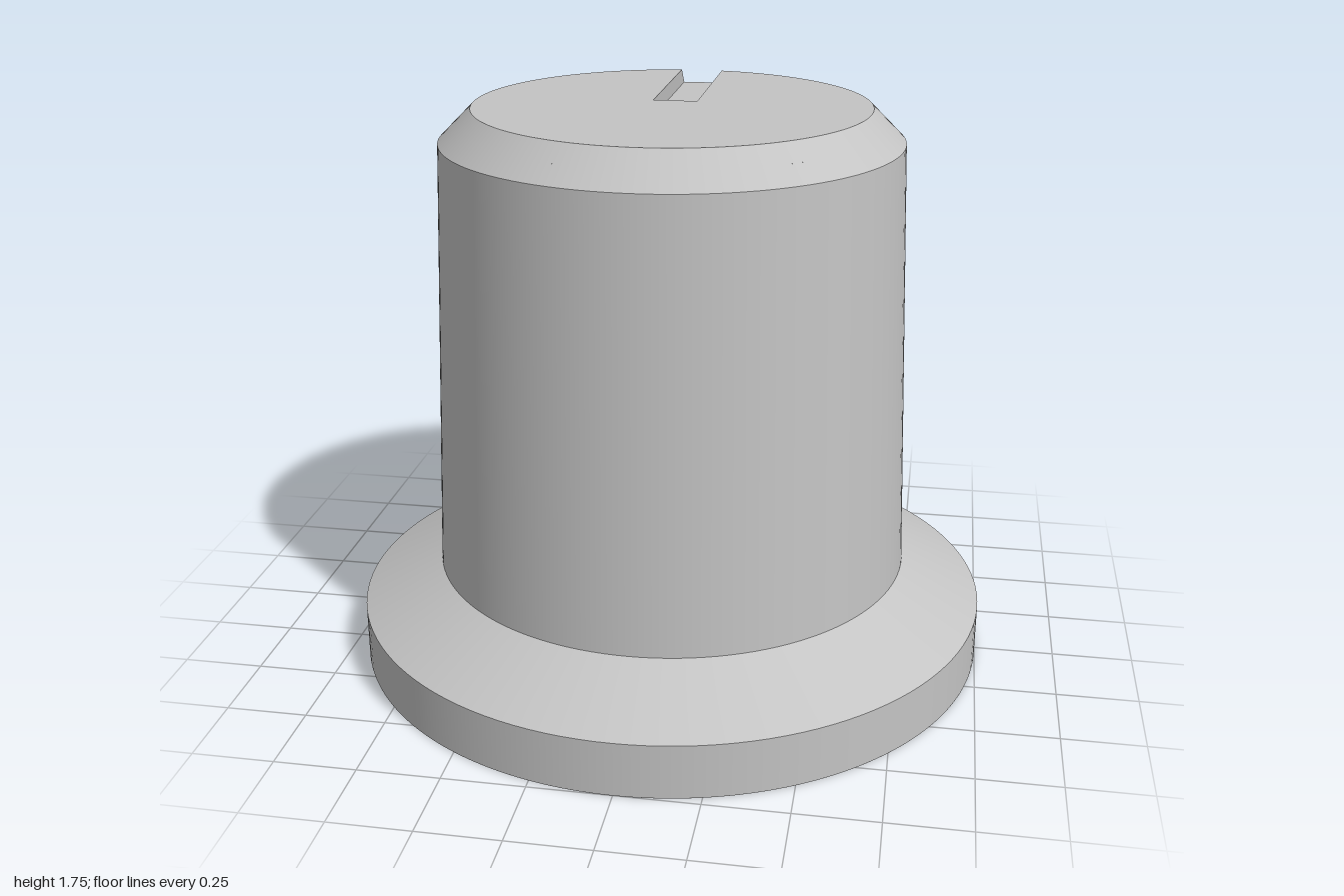
import * as THREE from 'three';

const SEG = 128;
const SLOT = { w: 0.067, inner: 0.06, floor: 1.7, rim: 0.65 };
const TOP = { r: 0.6, y: 1.75 };
const BORE = { r: 0.515, depth: 1.2 };

export function createModel() {
  const group = new THREE.Group();
  const grey = new THREE.MeshStandardMaterial({ color: 0xc4c4c4, side: THREE.DoubleSide });
  grey.name = 'knobGrey';

  const add = (name, geometry, y = 0) => {
    const mesh = new THREE.Mesh(geometry, grey);
    mesh.name = name;
    mesh.position.y = y;
    group.add(mesh);
    return mesh;
  };
  const flat = (shape, up) => new THREE.ShapeGeometry(shape, SEG).rotateX(up ? -Math.PI / 2 : Math.PI / 2);
  const quad = (...corners) => {
    const g = new THREE.BufferGeometry();
    g.setAttribute('position', new THREE.Float32BufferAttribute(corners.flat(), 3));
    g.setIndex([0, 1, 2, 0, 2, 3]);
    g.computeVertexNormals();
    return g;
  };
  const halfAngle = (r) => Math.asin(SLOT.w / r);

  // Conical bands of the outer skin, each with a sharp edge to the next
  const bands = [
    ['flangeRim', 1, 0, 1, 0.17],
    ['flangeSlope', 1, 0.17, 0.75, 0.3],
    ['grip', 0.75, 0.3, 0.7, 1.65],
    ['lowerChamfer', 0.7, 1.65, SLOT.rim, SLOT.floor],
  ];
  for (const [name, r0, y0, r1, y1] of bands) {
    add(name, new THREE.CylinderGeometry(r1, r0, y1 - y0, SEG, 1, true), (y0 + y1) / 2);
  }

  // Upper chamfer, open where the pointer slot cuts through at the back
  const h = halfAngle(0.625);
  const chamfer = new THREE.CylinderGeometry(
    TOP.r, SLOT.rim, TOP.y - SLOT.floor, SEG, 1, true, Math.PI + h, 2 * Math.PI - 2 * h);
  const p = chamfer.attributes.position;
  for (let i = 0; i < p.count; i++) {
    const r = p.getY(i) > 0 ? TOP.r : SLOT.rim;
    const a = halfAngle(r);
    const t = Math.PI + a + chamfer.attributes.uv.getX(i) * (2 * Math.PI - 2 * a);
    p.setX(i, r * Math.sin(t));
    p.setZ(i, r * Math.cos(t));
  }
  add('upperChamfer', chamfer, (TOP.y + SLOT.floor) / 2);

  // Top face with the slot cut out
  const up = Math.PI / 2;
  const a = halfAngle(TOP.r);
  const top = new THREE.Shape();
  top.absarc(0, 0, TOP.r, up + a, up - a + 2 * Math.PI, false);
  top.lineTo(SLOT.w, SLOT.inner);
  top.lineTo(-SLOT.w, SLOT.inner);
  top.closePath();
  add('topFace', flat(top, true), TOP.y);

  // Slot floor and walls
  const b = halfAngle(SLOT.rim);
  const floor = new THREE.Shape();
  floor.moveTo(-SLOT.w, SLOT.inner);
  floor.lineTo(SLOT.w, SLOT.inner);
  floor.absarc(0, 0, SLOT.rim, up - b, up + b, false);
  floor.closePath();
  add('slotFloor', flat(floor, true), SLOT.floor);

  const { w, inner, floor: y0 } = SLOT;
  const zLow = -SLOT.rim * Math.cos(b);
  const zHigh = -TOP.r * Math.cos(a);
  for (const s of [1, -1]) {
    const wall = [[s * w, y0, zLow], [s * w, y0, -inner], [s * w, TOP.y, -inner], [s * w, TOP.y, zHigh]];
    if (s < 0) wall.reverse();
    add(s > 0 ? 'slotWallLeft' : 'slotWallRight', quad(...wall));
  }
  add('slotEnd', quad([w, y0, -inner], [-w, y0, -inner], [-w, TOP.y, -inner], [w, TOP.y, -inner]));

  // Underside with the D-shaped shaft bore
  const dPath = (path) => {
    path.absarc(0, 0, BORE.r, Math.PI / 3, Math.PI * 5 / 3, false);
    path.closePath();
    return path;
  };
  const base = new THREE.Shape();
  base.absarc(0, 0, 1, 0, 2 * Math.PI, false);
  base.holes.push(dPath(new THREE.Path()));
  add('underside', flat(base, false));
  add('boreCeiling', flat(dPath(new THREE.Shape()), false), BORE.depth);
  add('boreWall', new THREE.CylinderGeometry(
    BORE.r, BORE.r, BORE.depth, SEG, 1, true, Math.PI * 5 / 6, Math.PI * 4 / 3), BORE.depth / 2);
  const fx = BORE.r / 2;
  const fz = BORE.r * Math.sin(Math.PI / 3);
  add('boreFlat', quad([fx, 0, -fz], [fx, 0, fz], [fx, BORE.depth, fz], [fx, BORE.depth, -fz]));

  return group;
}
